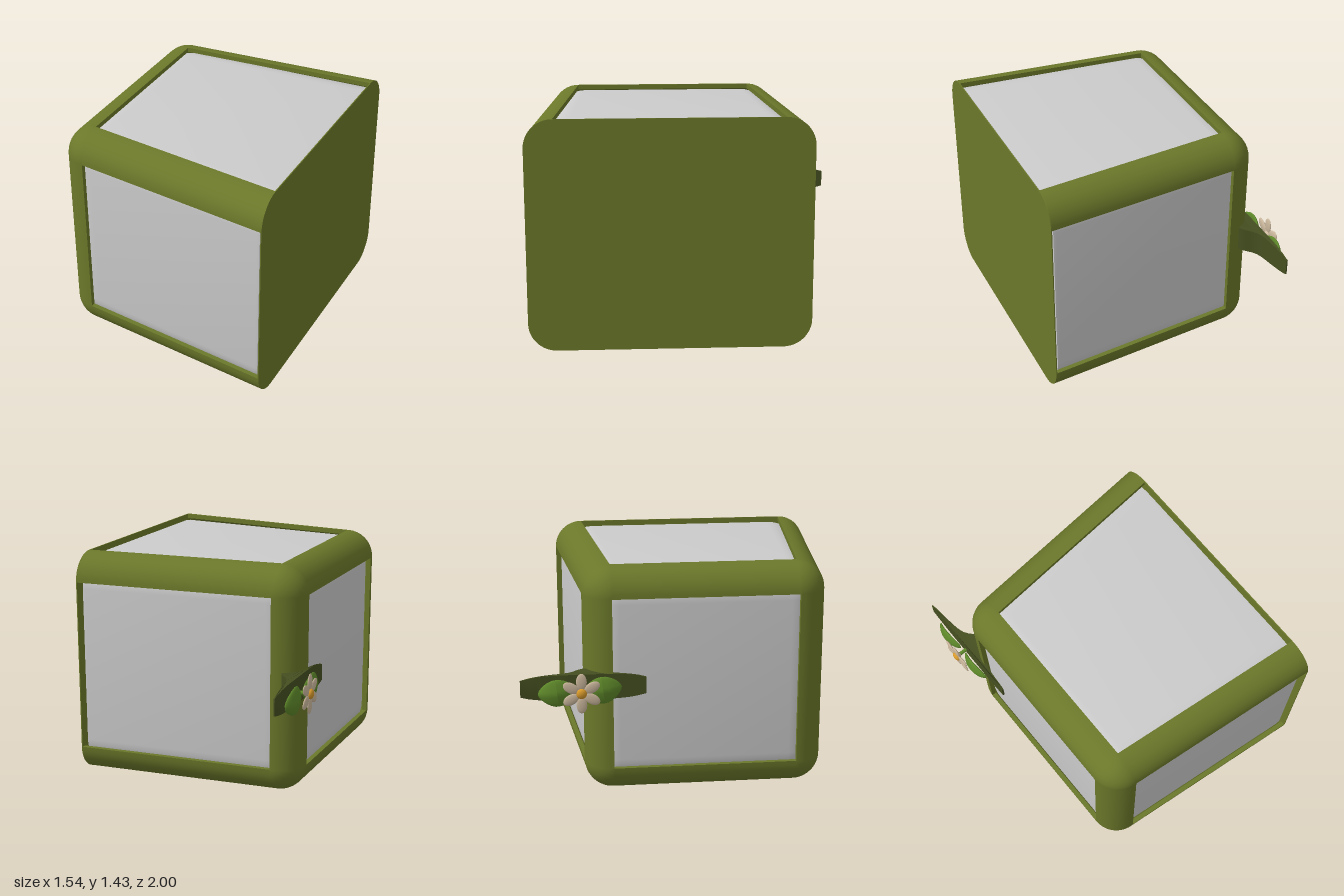
import * as THREE from 'three';
import { toCreasedNormals } from 'three/addons/utils/BufferGeometryUtils.js';
import { RoundedBoxGeometry } from 'three/addons/geometries/RoundedBoxGeometry.js';

const R = 0.175, WALL = 0.03;            // edge rounding and rail thickness
const X0 = -0.49, X1 = 0.765;            // rounding centre at the narrow end, plate at the wide end
const CY = 0.715, HY = 0.54, CZ = 0.13;  // centre and half-height of the rounding centres
// half depth of the rounding centres: the body widens in z towards +x
const halfZ = x => 0.57 + 0.12 * Math.max(0, (x - X0) / (X1 - X0));

const V = (x, y, z) => new THREE.Vector3(x, y, z);
const mat = color => new THREE.MeshStandardMaterial({ color, side: THREE.DoubleSide });

function add(parent, name, geometry, material) {
  const mesh = new THREE.Mesh(geometry, material);
  mesh.name = name;
  parent.add(mesh);
  return mesh;
}

// move every vertex by a rule
function warp(geometry, rule) {
  const p = geometry.attributes.position, v = V(0, 0, 0);
  for (let i = 0; i < p.count; i++) {
    rule(v.fromBufferAttribute(p, i));
    p.setXYZ(i, v.x, v.y, v.z);
  }
  geometry.computeVertexNormals();
  return geometry;
}

// quarter-round rail with wall thickness, from a to b, bulging between u and v
function railGeometry(a, b, u, v, steps = 10) {
  if (b.clone().sub(a).dot(u.clone().cross(v)) < 0) [a, b] = [b, a];
  const profile = [];
  const arc = (r, t) => u.clone().multiplyScalar(r * Math.cos(t)).addScaledVector(v, r * Math.sin(t));
  for (let i = 0; i <= steps; i++) profile.push(arc(R, i / steps * Math.PI / 2));
  for (let i = steps; i >= 0; i--) profile.push(arc(R - WALL, i / steps * Math.PI / 2));
  const points = [];
  profile.forEach((p, i) => {
    const q = profile[(i + 1) % profile.length];
    const a0 = a.clone().add(p), a1 = a.clone().add(q), b0 = b.clone().add(p), b1 = b.clone().add(q);
    points.push(a0, a1, b1, a0, b1, b0);
  });
  return toCreasedNormals(new THREE.BufferGeometry().setFromPoints(points), 0.6);
}

function buildFrame(green) {
  const frame = new THREE.Group();
  frame.name = 'frame';
  const h0 = halfZ(X0), h1 = halfZ(X1);
  for (const s of [-1, 1]) {
    const y = CY + s * HY, z = CZ + s * h0;
    add(frame, 'uprightRail', railGeometry(V(X0, CY - HY, z), V(X0, CY + HY, z), V(-1, 0, 0), V(0, 0, s)), green);
    add(frame, 'crossRail', railGeometry(V(X0, y, CZ - h0), V(X0, y, CZ + h0), V(-1, 0, 0), V(0, s, 0)), green);
    for (const k of [-1, 1]) {
      add(frame, 'longRail', railGeometry(
        V(X0, y, CZ + k * h0), V(X1, y, CZ + k * h1), V(0, s, 0), V(0, 0, k)), green);
      const ball = new THREE.SphereGeometry(R, 10, 10,
        k > 0 ? 0 : Math.PI * 1.5, Math.PI / 2, s > 0 ? 0 : Math.PI / 2, Math.PI / 2);
      add(frame, 'roundedCorner', ball, green).position.set(X0, y, CZ + k * h0);
    }
  }
  // flat closing plate at the wide end
  const w = h1 + R, h = HY + R, c = Math.PI / 2;
  const shape = new THREE.Shape();
  shape.absarc(w - R, h - R, R, 0, c);
  shape.absarc(R - w, h - R, R, c, 2 * c);
  shape.absarc(R - w, R - h, R, 2 * c, 3 * c);
  shape.absarc(w - R, R - h, R, 3 * c, 4 * c);
  const plate = add(frame, 'endPlate',
    new THREE.ExtrudeGeometry(shape, { depth: 0.006, bevelEnabled: false, curveSegments: 10 }), green);
  plate.rotation.y = Math.PI / 2;
  plate.position.set(X1 - 0.005, CY, CZ);
  return frame;
}

// grey rounded block showing through the frame, cut flat just short of the plate
function coreGeometry() {
  const r = 0.19, left = -0.635, right = 0.72 + r, d = halfZ(X0) + R - WALL;
  const box = new RoundedBoxGeometry(right - left, 2 * (HY + R - WALL), 2 * d, 6, r);
  box.translate((left + right) / 2, CY, 0);
  warp(box, v => {
    v.x = Math.min(v.x, 0.74);
    v.z = CZ + v.z * (halfZ(v.x) + R - WALL) / d;
  });
  return toCreasedNormals(box, 0.6);
}

// clip: flat outside, swelling inwards to meet the rounded corner
function clipGeometry() {
  const inner = new THREE.CatmullRomCurve3([
    V(-0.672, 0, -1), V(-0.66, 0, -0.84), V(-0.635, 0, -0.71), V(-0.56, 0, -0.605),
    V(-0.61, 0, -0.52), V(-0.655, 0, -0.42), V(-0.668, 0, -0.24)]).getPoints(24);
  const shape = new THREE.Shape();
  inner.forEach((p, i) => (i ? shape.lineTo(p.x, -p.z) : shape.moveTo(p.x, -p.z)));
  for (let i = 0; i <= 16; i++) shape.lineTo(-0.68, 0.24 + 0.76 * i / 16);
  const g = new THREE.ExtrudeGeometry(shape, { depth: 0.16, bevelEnabled: false });
  g.rotateX(-Math.PI / 2).translate(0, -0.08, 0);
  warp(g, v => {
    v.y = 0.72 + v.y * (1 - 0.35 * Math.pow(Math.abs(v.z + 0.62) / 0.38, 4));
  });
  return toCreasedNormals(g, 0.6);
}

// cupped, pointed leaf lying along z and facing -x
function leafGeometry() {
  return warp(new THREE.SphereGeometry(1, 20, 14), v => {
    const t = v.z;
    v.set(0.016 * v.x + 0.03 * t * t - 0.012 * (1 - Math.abs(v.y)), 0.085 * v.y * (1 - 0.3 * t * t), 0.115 * t);
  });
}

function buildFlower() {
  const flower = new THREE.Group();
  flower.name = 'flower';
  const petalMat = mat(0xcdb99e), leafMat = mat(0x5f8a2a);
  for (let i = 0; i < 6; i++) {
    const pivot = new THREE.Group();
    pivot.rotation.x = i * Math.PI / 3;
    flower.add(pivot);
    const petal = add(pivot, 'petal', new THREE.SphereGeometry(1, 14, 10), petalMat);
    petal.scale.set(0.009, 0.052, 0.033);
    petal.position.set(0, 0.073, 0);
  }
  const base = add(flower, 'flowerBase', new THREE.ConeGeometry(0.035, 0.04, 16), petalMat);
  base.rotation.z = -Math.PI / 2;
  base.position.x = 0.018;
  const heart = add(flower, 'flowerCentre', new THREE.SphereGeometry(1, 16, 12), mat(0xd99a2b));
  heart.scale.set(0.02, 0.032, 0.032);
  heart.position.x = -0.004;
  const stem = add(flower, 'stem', new THREE.CylinderGeometry(0.012, 0.012, 0.06, 10), leafMat);
  stem.rotation.z = Math.PI / 2;
  stem.position.x = 0.045;
  for (const s of [-1, 1]) {
    const leaf = add(flower, 'leaf', leafGeometry(), leafMat);
    leaf.position.set(0.036, 0.005 * s, s > 0 ? 0.13 : -0.145);
    leaf.rotation.x = -0.12;
  }
  flower.position.set(-0.753, 0.705, -0.635);
  return flower;
}

export function createModel() {
  const model = new THREE.Group();
  model.name = 'flowerClipCube';
  model.add(buildFrame(mat(0x6b782a)));
  add(model, 'innerBlock', coreGeometry(), mat(0xcccccc));
  add(model, 'clip', clipGeometry(), mat(0x454f20));
  model.add(buildFlower());
  return model;
}
